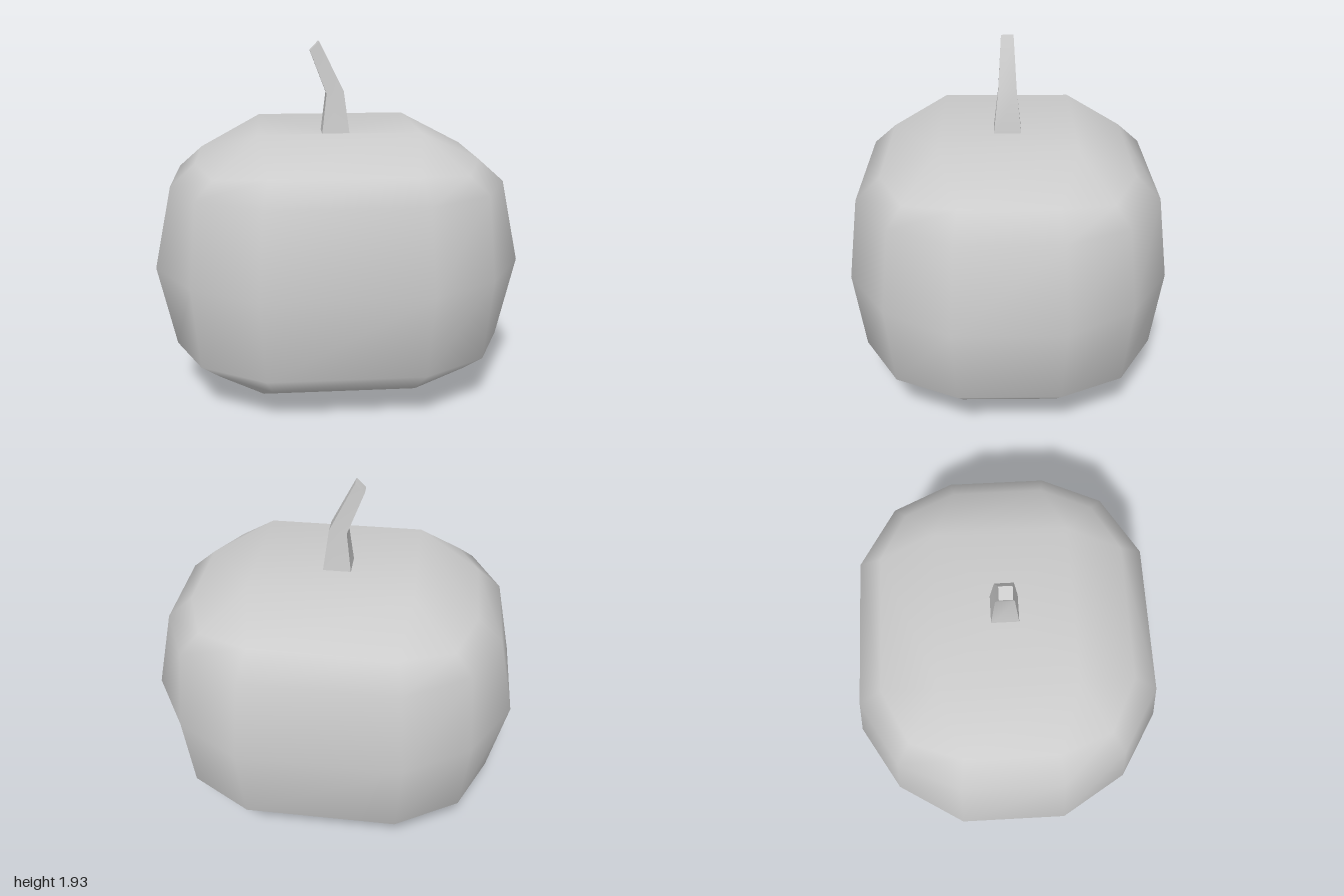
import * as THREE from 'three';
import { mergeVertices, toCreasedNormals } from 'three/addons/utils/BufferGeometryUtils.js';

// Skins a stack of closed rings (bottom to top, each ordered +x towards +z).
function loft(rings) {
  const n = rings[0].length;
  const geo = new THREE.BufferGeometry();
  geo.setAttribute('position', new THREE.Float32BufferAttribute(rings.flat(2), 3));
  const index = [];
  for (let j = 0; j < rings.length - 1; j++) {
    for (let i = 0; i < n; i++) {
      const a = j * n + i, b = j * n + (i + 1) % n, c = a + n, d = b + n;
      index.push(a, c, b, b, c, d);
    }
  }
  geo.setIndex(index);
  // Weld repeated points and drop the triangles that collapse.
  const welded = mergeVertices(geo, 1e-4);
  const src = welded.index.array, kept = [];
  for (let i = 0; i < src.length; i += 3) {
    const [a, b, c] = [src[i], src[i + 1], src[i + 2]];
    if (a !== b && b !== c && a !== c) kept.push(a, b, c);
  }
  welded.setIndex(kept);
  welded.computeVertexNormals();
  return welded;
}

// Twelve-sided ring mirrored from one quadrant: side point, corner, front point.
function bodyRing(y, side, corner, front, cornerY = y) {
  const quad = [[side[0], y, side[1]], [corner[0], cornerY, corner[1]], [front[0], y, front[1]]];
  const ring = [];
  [[1, 1], [-1, 1], [-1, -1], [1, -1]].forEach(([sx, sz], q) => {
    const pts = q % 2 ? [...quad].reverse() : quad;
    pts.forEach(([x, py, z]) => ring.push([x * sx, py, z * sz]));
  });
  return ring;
}

// Four-sided ring whose corners meet the twelve-sided ones.
const squareRing = (y, x, z) => bodyRing(y, [x, z], [x, z], [x, z]);

// Stem section from its left and right edge points and half depth.
const stemRing = ([xl, yl], [xr, yr], h) =>
  [[xr, yr, -h], [xr, yr, h], [xl, yl, h], [xl, yl, -h]];

export function createModel() {
  const group = new THREE.Group();
  const material = new THREE.MeshStandardMaterial({ color: 0xcccccc });

  // Squashed rounded body, dished at top and bottom
  const H = 1.48;
  const shoulder = (y, cy) => bodyRing(y, [0.77, 0.25], [0.66, 0.53], [0.38, 0.67], cy);
  const flank = (y) => bodyRing(y, [0.905, 0.27], [0.75, 0.6], [0.41, 0.8]);
  const body = new THREE.Mesh(loft([
    squareRing(0.03, 0, 0),
    squareRing(0, 0.43, 0.36),
    shoulder(H - 1.31, H - 1.28),
    flank(H - 1.19),
    bodyRing(H / 2, [1, 0.285], [0.785, 0.64], [0.435, 0.855]),
    flank(1.19),
    shoulder(1.31, 1.28),
    squareRing(H, 0.43, 0.36),
    squareRing(1.42, 0, 0),
  ]), material);
  body.name = 'body';
  group.add(body);

  // Square stem, tapering and bent to one side
  const tip = [-0.115, 1.913];
  const stemGeo = loft([
    stemRing([-0.08, 1.4], [0.08, 1.4], 0.078),
    stemRing([-0.05, 1.65], [0.045, 1.665], 0.05),
    stemRing([-0.14, 1.885], [-0.09, 1.935], 0.034),
    stemRing(tip, tip, 0),
  ]);
  const stem = new THREE.Mesh(toCreasedNormals(stemGeo, 0.75), material);
  stem.name = 'stem';
  group.add(stem);

  return group;
}
